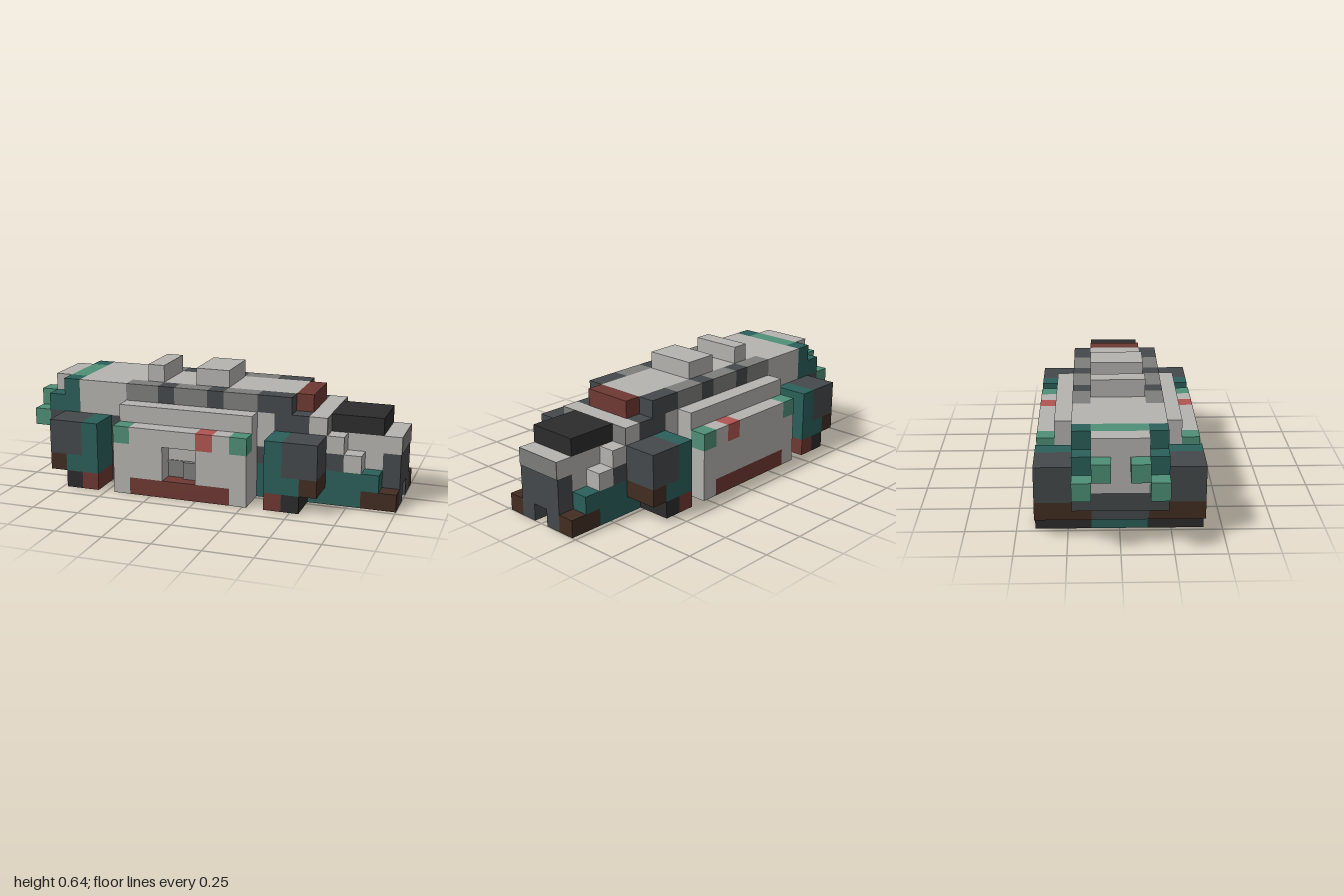
import * as THREE from 'three';

const CELL = 1 / 11; // the model is 22 cells long

export function createModel() {
  const model = new THREE.Group();
  model.name = 'blockVehicle';

  const mat = {};
  const colors = {
    light: 0xb5b3b0, mid: 0x7e7e7c, dark: 0x45494b, black: 0x2c2c2c, teal: 0x2b605a,
    green: 0x4f8f77, red: 0x6f3933, brown: 0x432d23, brightRed: 0xb05550,
  };
  for (const [name, color] of Object.entries(colors)) {
    mat[name] = new THREE.MeshStandardMaterial({ color });
    mat[name].name = name;
  }

  let part;
  const begin = (name) => {
    part = new THREE.Group();
    part.name = name;
    model.add(part);
  };
  const box = (color, x0, x1, y0, y1, z0, z1) => {
    const m = new THREE.Mesh(
      new THREE.BoxGeometry((x1 - x0) * CELL, (y1 - y0) * CELL, (z1 - z0) * CELL), mat[color]);
    m.position.set((x0 + x1) / 2 * CELL - 1, (y0 + y1) / 2 * CELL, (z0 + z1) / 2 * CELL);
    m.name = part.name + 'Block';
    part.add(m);
  };
  // block across the middle
  const mid = (color, x0, x1, y0, y1, half = 1.5) => box(color, x0, x1, y0, y1, -half, half);
  // mirrored pair of blocks
  const pair = (color, x0, x1, y0, y1, z0, z1) => {
    box(color, x0, x1, y0, y1, z0, z1);
    box(color, x0, x1, y0, y1, -z1, -z0);
  };
  // a row of mirrored blocks: [color, first cell, end cell]
  const row = (y0, y1, z0, z1, runs) => runs.forEach(([c, a, b]) => pair(c, a, b, y0, y1, z0, z1));

  begin('hullCore');
  mid('light', 1, 2, 5, 6);
  mid('green', 2, 3, 5, 6);
  mid('light', 3, 16, 5, 6);
  mid('red', 16, 17, 5, 6);
  mid('light', 1, 18, 4, 5);
  mid('light', 1, 21, 3, 4);
  mid('dark', 1, 18, 2, 3);
  mid('light', 18, 21, 2, 3);
  mid('dark', 2, 17, 1, 2);
  mid('teal', 17, 21, 1, 2);
  mid('teal', 3, 6, 0, 1);
  mid('black', 6, 16, 0, 1);
  mid('teal', 16, 21, 0, 1);

  begin('roofBlock');
  mid('light', 7, 8, 6, 7);
  mid('light', 10, 12, 6, 7);

  begin('cab');
  mid('black', 18, 21, 4, 5);
  mid('light', 21, 22, 3, 4);
  mid('mid', 22, 22.05, 3, 4);
  mid('dark', 21, 22, 1, 3);
  pair('dark', 21, 22, 0, 1, 0.5, 1.5);
  mid('dark', 21, 21.05, 0, 1, 0.5);

  begin('hullSide');
  row(5, 6, 1.5, 2.5, [['teal', 2, 3], ['light', 3, 6], ['mid', 6, 8], ['dark', 8, 9],
    ['mid', 9, 11], ['dark', 11, 12], ['mid', 12, 14], ['dark', 14, 16]]);
  row(4, 5, 1.5, 2.5, [['teal', 1, 3], ['light', 3, 15], ['dark', 15, 17], ['light', 17, 18],
    ['mid', 18, 18.05]]);
  row(3, 4, 1.5, 2.5, [['dark', 1, 6], ['light', 6, 15], ['dark', 15, 18], ['light', 18, 19]]);
  row(2, 3, 1.5, 2.5, [['dark', 1, 6], ['light', 6, 14], ['dark', 14, 19], ['light', 19, 20]]);
  row(1, 2, 1.5, 2.5, [['brown', 2, 3], ['teal', 3, 5], ['dark', 5, 6], ['teal', 6, 21]]);
  row(0, 1, 1.5, 2.5, [['black', 3, 4], ['red', 4, 5], ['dark', 5, 6], ['black', 6, 14],
    ['teal', 14, 20], ['brown', 20, 22]]);

  begin('tailLamp');
  pair('green', 0, 1, 4, 5, 0.5, 1.5);
  pair('green', 0, 1, 3, 4, 1.5, 2.5);

  // wheel housings, the front one a mirror of the rear one
  for (const [name, flip] of [['rearWheel', (x) => x], ['frontWheel', (x) => 20 - x]]) {
    begin(name);
    const block = (c, a, b, y0, y1) =>
      pair(c, Math.min(flip(a), flip(b)), Math.max(flip(a), flip(b)), y0, y1, 2.5, 4.5);
    block('dark', 2, 4, 2, 4);
    block('teal', 4, 5, 1, 4);
    block('brown', 2, 3, 1, 2);
    block('teal', 3, 4, 1, 2);
    block('black', 3, 4, 0, 1);
    block('red', 4, 5, 0, 1);
  }

  begin('sideArmour');
  pair('light', 6, 14, 0, 5, 2.5, 3.5);
  row(3, 4, 3.5, 4.5, [['green', 6, 7], ['light', 7, 11], ['brightRed', 11, 12],
    ['light', 12, 13], ['green', 13, 14]]);
  row(0, 1, 3.5, 4.5, [['light', 6, 7], ['red', 7, 13], ['light', 13, 14]]);
  box('light', 6, 14, 1, 3, -4.5, -3.5);
  box('light', 6, 9, 1, 3, 3.5, 4.5);
  box('light', 11, 14, 1, 3, 3.5, 4.5);

  // recessed hatch on the front panel
  begin('hatch');
  box('mid', 9, 10, 1, 2, 3.5, 3.55);
  box('mid', 10, 11, 1, 2, 3.5, 3.8);

  // thin patches under the floor
  begin('floorPatch');
  const patch = (c, x0, x1, z0, z1) => box(c, x0, x1, -0.03, 0.02, z0, z1);
  for (const x of [7, 13]) patch('mid', x, x + 1, -1.5, 1.5);
  patch('mid', 8, 13, -0.5, 0.5);
  patch('mid', 4, 5, -0.5, 0.5);
  patch('black', 18, 20, -1.5, 1.5);
  // keep the model standing on the ground
  part.position.y = 0.02 * CELL;

  return model;
}
